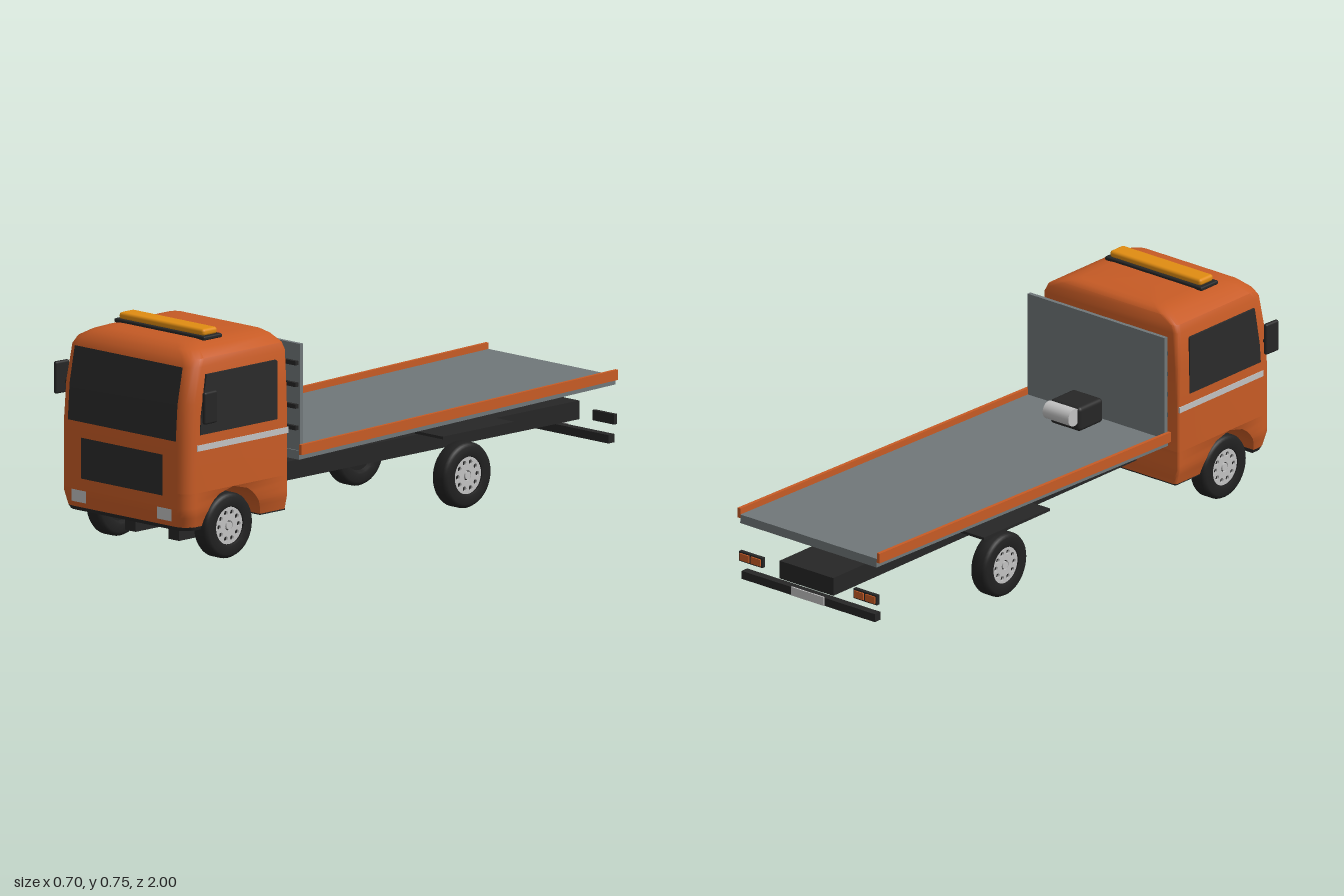
import * as THREE from 'three';
import { toCreasedNormals } from 'three/addons/utils/BufferGeometryUtils.js';
import { RoundedBoxGeometry } from 'three/addons/geometries/RoundedBoxGeometry.js';

const paint = (name, color) => {
  const m = new THREE.MeshStandardMaterial({ color });
  m.name = name;
  return m;
};

// Rounded rectangle outline in the xz plane; front and back corners may differ
function outline([y, hw, zb, zf, rf, rb]) {
  const pts = [];
  const corners = [[1, zf, rf, 0], [-1, zf, rf, 1], [-1, zb, rb, 2], [1, zb, rb, 3]];
  for (const [sx, z, r, q] of corners) {
    const cx = sx * (hw - r), cz = z + (q < 2 ? -r : r);
    for (let i = 0; i <= 5; i++) {
      const a = (q + i / 5) * Math.PI / 2;
      pts.push([cx + r * Math.cos(a), y, cz + r * Math.sin(a)]);
    }
  }
  return pts;
}

// Skin a stack of outlines from bottom to top and close both ends
function loft(rows) {
  const pos = [], idx = [], n = 24;
  rows.forEach(r => outline(r).forEach(p => pos.push(...p)));
  for (let k = 0; k < rows.length - 1; k++) {
    for (let i = 0; i < n; i++) {
      const a = k * n + i, b = k * n + (i + 1) % n;
      idx.push(a, a + n, b, b, a + n, b + n);
    }
  }
  const last = rows.length - 1, c = rows.length * n;
  for (const k of [0, last]) pos.push(0, rows[k][0], (rows[k][2] + rows[k][3]) / 2);
  for (let i = 0; i < n; i++) {
    const j = (i + 1) % n;
    idx.push(c, i, j, c + 1, last * n + j, last * n + i);
  }
  const g = new THREE.BufferGeometry();
  g.setAttribute('position', new THREE.Float32BufferAttribute(pos, 3));
  g.setIndex(idx);
  return toCreasedNormals(g, 0.6);
}

export function createModel() {
  const orange = paint('orange paint', 0xc75b25);
  const black = paint('black plastic', 0x262626);
  const glass = paint('dark glass', 0x2b2b2b);
  const rubber = paint('tyre rubber', 0x212121);
  const grey = paint('grey deck', 0x707779);
  const light = paint('light grey', 0xc2c2c2);
  const amber = paint('amber lens', 0xe08c12);

  const root = new THREE.Group();
  const add = (name, geo, mat, x = 0, y = 0, z = 0, parent = root) => {
    const m = new THREE.Mesh(geo, mat);
    m.name = name;
    m.position.set(x, y, z);
    parent.add(m);
    return m;
  };
  const box = (name, mat, w, h, d, x, y, z, parent) =>
    add(name, new THREE.BoxGeometry(w, h, d), mat, x, y, z, parent);

  // Cab: [y, half width, back z, front z, front radius, back radius]
  const cabRows = [
    [0.245, 0.295, 0.525, 0.997, 0.045, 0.012],
    [0.42, 0.295, 0.525, 0.996, 0.045, 0.012],
    [0.54, 0.293, 0.525, 0.988, 0.045, 0.015],
    [0.66, 0.289, 0.525, 0.964, 0.045, 0.02],
    [0.685, 0.279, 0.528, 0.951, 0.05, 0.025],
    [0.708, 0.238, 0.535, 0.93, 0.05, 0.03],
    [0.72, 0.205, 0.548, 0.9, 0.05, 0.03],
    [0.725, 0.17, 0.57, 0.87, 0.05, 0.03],
  ];
  add('cabBody', loft(cabRows), orange);

  // Lower cab on either side of the wheel arch
  const front = [], back = [];
  for (let i = 0; i <= 7; i++) {
    const y = 0.13 + 0.115 * i / 7;
    const arch = Math.sqrt(Math.max(0, 0.135 ** 2 - (y - 0.11) ** 2));
    const hw = 0.283 + 0.012 * Math.min(1, i / 3);
    front.push([y, hw, 0.78 + arch, 0.988 + 0.009 * Math.min(1, i / 3), 0.045, 0.001]);
    back.push([y, hw, 0.525, 0.78 - arch, 0.001, 0.012]);
  }
  add('lowerCabFront', loft(front), orange);
  add('lowerCabBack', loft(back), orange);
  add('frontLip', loft([[0.118, 0.278, 0.915, 0.982, 0.045, 0.001],
    [0.131, 0.283, 0.913, 0.989, 0.045, 0.001]]), black);
  box('cabFloor', black, 0.56, 0.006, 0.115, 0, 0.128, 0.585);
  box('archLining', black, 0.56, 0.005, 0.1, 0, 0.2425, 0.78);

  // Front panels that follow the lean of the cab
  const frontZ = y => {
    for (let i = 1; i < cabRows.length; i++) {
      const a = cabRows[i - 1], b = cabRows[i];
      if (y <= b[0]) return a[3] + (b[3] - a[3]) * Math.max(0, (y - a[0]) / (b[0] - a[0]));
    }
    return 0.9;
  };
  const facePlate = (name, mat, w, y0, y1, x = 0) => {
    const g = new THREE.PlaneGeometry(w, y1 - y0, 1, 8).translate(x, (y0 + y1) / 2, 0);
    const p = g.attributes.position;
    for (let i = 0; i < p.count; i++) p.setZ(i, frontZ(p.getY(i)) + 0.003);
    g.computeVertexNormals();
    add(name, g, mat);
  };
  facePlate('windscreen', glass, 0.496, 0.418, 0.66);
  facePlate('grille', glass, 0.374, 0.23, 0.366);

  // Side window outline, drawn in z and y
  const win = new THREE.Shape([[0.935, 0.437], [0.93, 0.5], [0.905, 0.635], [0.585, 0.635],
    [0.58, 0.63], [0.58, 0.437]].map(([z, y]) => new THREE.Vector2(-z, y)));
  const winGeo = new THREE.ExtrudeGeometry(win, { depth: 0.009, bevelEnabled: false })
    .rotateY(Math.PI / 2).translate(-0.0045, 0, 0);

  for (const s of [-1, 1]) {
    facePlate('headlight', light, 0.067, 0.15, 0.19, s * 0.197);
    add('sideWindow', winGeo, glass, s * 0.2925, 0, 0);
    box('sideStripe', light, 0.006, 0.02, 0.42, s * 0.2945, 0.394, 0.738);
    const mirror = add('mirror', new RoundedBoxGeometry(0.016, 0.108, 0.062, 3, 0.0075), black,
      s * 0.341, 0.537, 0.935);
    mirror.rotation.y = s * 0.05;
    add('mirrorArm', new THREE.SphereGeometry(0.008, 12, 8), black, s * 0.325, 0.523, 0.925);
    box('cabSupport', black, 0.05, 0.12, 0.18, s * 0.1, 0.108, 0.77);
    box('rearFender', black, 0.13, 0.009, 0.33, s * 0.26, 0.267, -0.32);
    // Tail lamps
    box('tailLampHousing', black, 0.1, 0.034, 0.014, s * 0.245, 0.2, -0.981);
    box('tailLampLens', orange, 0.04, 0.024, 0.005, s * 0.269, 0.2, -0.99);
    box('tailLampLens', orange, 0.04, 0.024, 0.005, s * 0.221, 0.2, -0.99);
  }

  // Roof beacon
  add('beaconBase', new RoundedBoxGeometry(0.415, 0.014, 0.085, 2, 0.005), black, 0, 0.728, 0.785);
  add('beacon', new RoundedBoxGeometry(0.39, 0.024, 0.068, 3, 0.01), amber, 0, 0.744, 0.785);

  // Wheels, with +x as the outer side
  const tyreGeo = toCreasedNormals(new THREE.LatheGeometry([
    [0, -0.02], [0.058, -0.02], [0.063, -0.031], [0.07, -0.033], [0.095, -0.033], [0.104, -0.029],
    [0.109, -0.02], [0.109, 0.02], [0.104, 0.029], [0.095, 0.033], [0.07, 0.033], [0.063, 0.031],
    [0.062, 0.02], [0, 0.02]].map(p => new THREE.Vector2(...p)), 40), 0.7).rotateZ(-Math.PI / 2);
  const rim = new THREE.Shape().absarc(0, 0, 0.062, 0, Math.PI * 2);
  for (let i = 0; i < 10; i++) {
    const a = i / 10 * Math.PI * 2;
    rim.holes.push(new THREE.Path().absarc(0.045 * Math.cos(a), 0.045 * Math.sin(a), 0.008, 0, Math.PI * 2));
  }
  rim.holes.push(new THREE.Path().absarc(0, 0, 0.017, 0, Math.PI * 2));
  const rimGeo = new THREE.ExtrudeGeometry(rim, { depth: 0.007, bevelEnabled: false, curveSegments: 16 })
    .rotateY(Math.PI / 2);
  const hubGeo = new THREE.CylinderGeometry(0.013, 0.013, 0.012, 16).rotateZ(Math.PI / 2);
  for (const z of [0.78, -0.32]) {
    for (const s of [-1, 1]) {
      const wheel = new THREE.Group();
      wheel.name = z > 0 ? 'frontWheel' : 'rearWheel';
      wheel.position.set(s * 0.247, 0.11, z);
      wheel.rotation.y = s > 0 ? 0 : Math.PI;
      add('tyre', tyreGeo, rubber, 0, 0, 0, wheel);
      add('rim', rimGeo, light, 0.02, 0, 0, wheel);
      add('hub', hubGeo, light, 0.023, 0, 0, wheel);
      root.add(wheel);
    }
  }

  // Chassis, rear bar and plate
  box('chassis', black, 0.23, 0.062, 1.55, 0, 0.202, -0.22);
  box('rearBar', black, 0.57, 0.028, 0.028, 0, 0.135, -0.972);
  box('rearPlate', light, 0.14, 0.03, 0.005, 0, 0.137, -0.988);

  // Tilted load bed
  const bed = new THREE.Group();
  bed.name = 'loadBed';
  bed.position.set(0, 0.3, -0.255);
  bed.rotation.x = 0.0205;
  root.add(bed);
  box('deck', grey, 0.584, 0.03, 1.46, 0, 0.015, 0, bed);
  for (const s of [-1, 1]) box('sideRail', orange, 0.012, 0.034, 1.46, s * 0.298, 0.034, 0, bed);

  // Headboard with cross bars on its front
  box('headboard', grey, 0.586, 0.37, 0.014, 0, 0.485, 0.464);
  for (let i = 0; i < 4; i++) box('headboardBar', black, 0.57, 0.014, 0.014, 0, 0.39 + i * 0.072, 0.477);

  // Winch
  add('winchBody', new RoundedBoxGeometry(0.13, 0.085, 0.122, 3, 0.014), black, 0, 0.368, 0.359);
  add('winchDrum', new THREE.CylinderGeometry(0.03, 0.03, 0.11, 24).rotateZ(Math.PI / 2), light, 0, 0.381, 0.283);

  return root;
}
